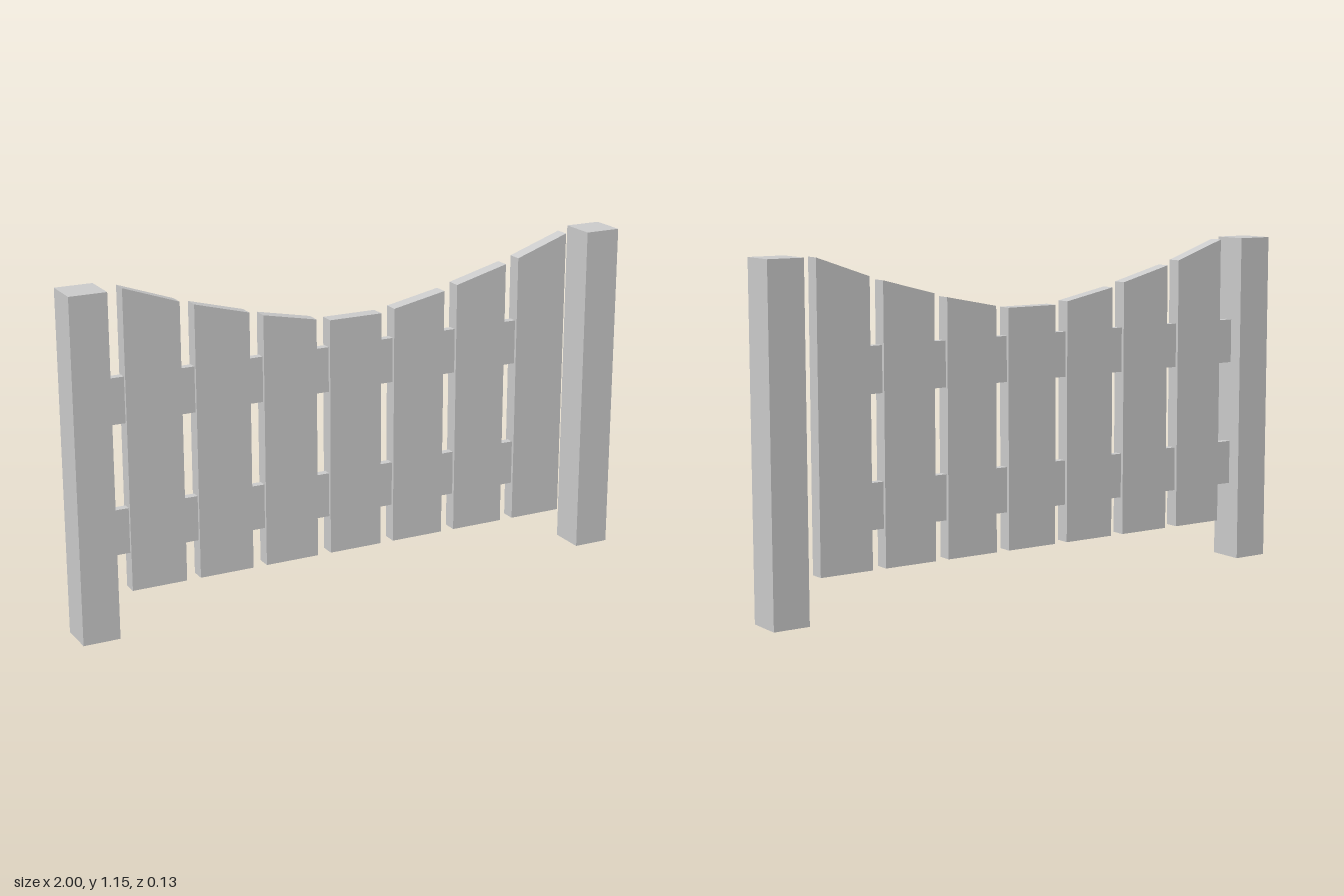
import * as THREE from 'three';

export function createModel() {
  const gate = new THREE.Group();
  gate.name = 'picketGate';
  const wood = new THREE.MeshStandardMaterial({ color: 0xcccccc, flatShading: true });
  const openWood = wood.clone();
  openWood.side = THREE.DoubleSide;

  const add = (name, geometry, material, x, y, z) => {
    const mesh = new THREE.Mesh(geometry, material);
    mesh.name = name;
    mesh.position.set(x, y, z);
    gate.add(mesh);
  };

  // Square end posts, open underneath
  const postW = 0.126, postH = 1.15;
  for (const side of [-1, 1]) {
    const post = new THREE.BoxGeometry(postW, postH, postW);
    const index = Array.from(post.index.array);
    index.splice(18, 6); // drop the bottom face
    post.setIndex(index);
    add(side > 0 ? 'leftPost' : 'rightPost', post, openWood, side * (1 - postW / 2), postH / 2, 0);
  }

  // Pickets: tops slope down toward the middle in a sagging line
  const width = 0.19, depth = 0.05, spacing = 0.2388, bottom = 0.14;
  const tops = [[0.953, 0.953], [0.962, 1.0], [1.015, 1.065], [1.08, 1.146]]; // inner, outer heights
  for (let i = -3; i <= 3; i++) {
    const [inner, outer] = tops[Math.abs(i)];
    const [l, r] = i < 0 ? [outer, inner] : [inner, outer];
    const outline = new THREE.Shape([
      new THREE.Vector2(-width / 2, bottom),
      new THREE.Vector2(width / 2, bottom),
      new THREE.Vector2(width / 2, r),
      new THREE.Vector2(-width / 2, l),
    ]);
    const picket = new THREE.ExtrudeGeometry(outline, { depth, bevelEnabled: false });
    add(`picket${i + 4}`, picket, wood, i * spacing, 0, -depth / 2);
  }

  // Rails run from the hinge post into the last picket
  const railStart = -1 + postW, railEnd = 3 * spacing;
  for (const [name, y] of [['lowerRail', 0.345], ['upperRail', 0.783]]) {
    const rail = new THREE.BoxGeometry(railEnd - railStart, 0.153, 0.028);
    add(name, rail, wood, (railStart + railEnd) / 2, y, 0);
  }

  return gate;
}
